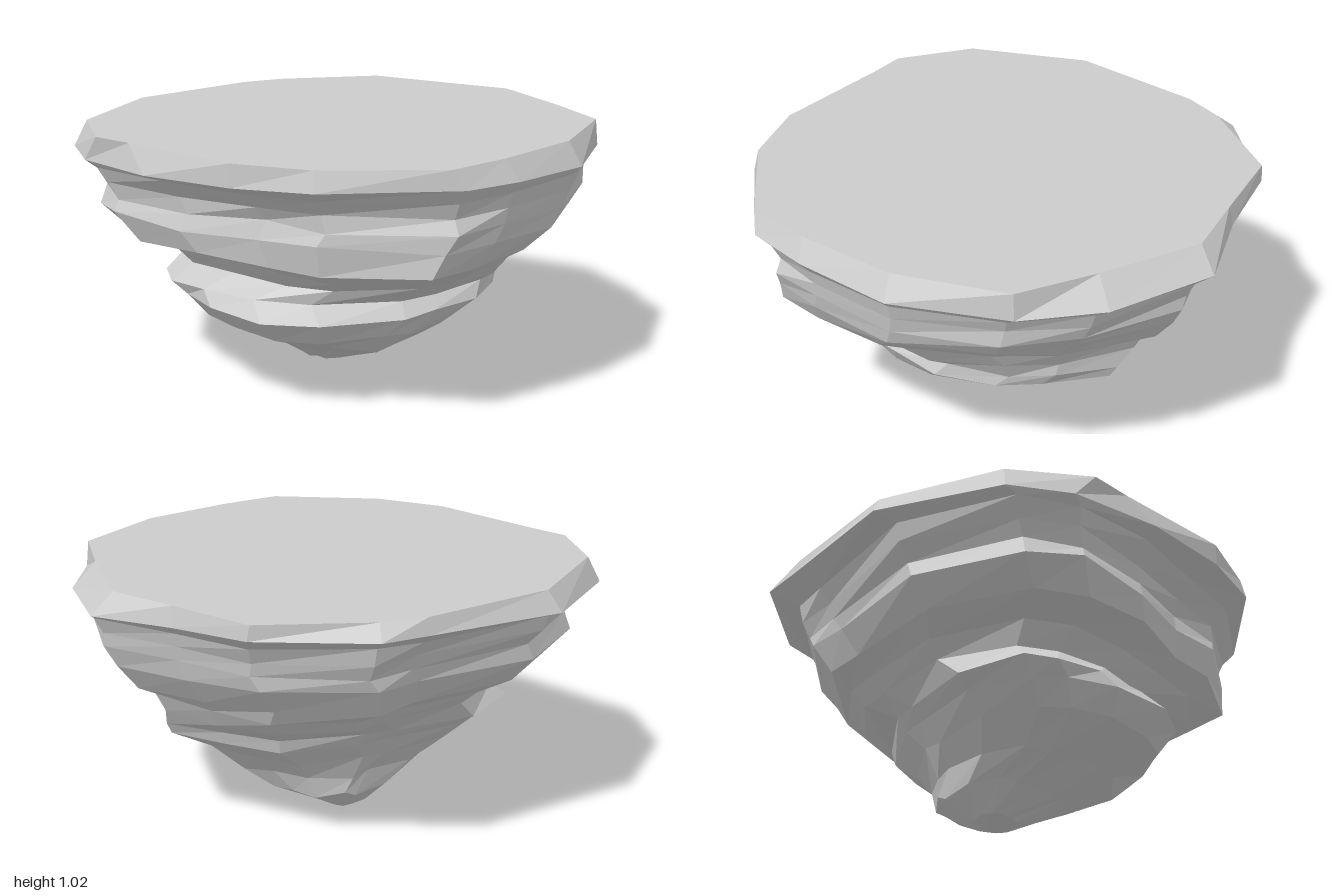
import * as THREE from 'three';

// Widest outline of the slab as [x, z], clockwise seen from above
const RIM = [
  [-0.08, -0.98], [0.36, -0.91], [0.61, -0.69], [0.90, -0.50], [1.0, -0.09], [0.97, 0.23],
  [0.77, 0.62], [0.47, 0.85], [0.25, 0.97], [-0.25, 0.90], [-0.51, 0.72], [-0.78, 0.43],
  [-0.97, 0.11], [-1.0, -0.14], [-0.76, -0.59], [-0.25, -0.88],
];
// Edge of the flat top, slightly inside the rim
const TOP = [
  [-0.08, -0.91], [0.35, -0.91], [0.61, -0.67], [0.82, -0.48], [0.91, -0.08], [0.96, 0.23],
  [0.73, 0.59], [0.42, 0.83], [0.20, 0.96], [-0.25, 0.88], [-0.51, 0.72], [-0.82, 0.32],
  [-0.93, 0.19], [-0.95, -0.14], [-0.71, -0.57], [-0.25, -0.86],
];
// Rock layers below the slab:
// [y, min x, max x, max z, min z, unevenness, front right swell, back left swell]
const LAYERS = [
  [0.89, -0.97, 0.97, 0.93, -0.86, 0.006, -0.09, 0.03],
  [0.83, -0.93, 0.94, 0.91, -0.83, 0.01, -0.15, 0.04],
  [0.77, -0.89, 0.92, 0.91, -0.80, 0.01, -0.17, 0.06],
  [0.71, -0.91, 0.87, 0.90, -0.78, 0.012, -0.18, 0.08],
  [0.61, -0.82, 0.75, 0.89, -0.70, 0.012, -0.17, 0.12],
  [0.56, -0.66, 0.69, 0.77, -0.64, 0.012, -0.12, 0.14],
  [0.49, -0.60, 0.65, 0.63, -0.57, 0.012, -0.06, 0.15],
  [0.425, -0.67, 0.63, 0.51, -0.45, 0.01, 0.12, 0.20],
  [0.37, -0.60, 0.59, 0.56, -0.42, 0.01, 0.27, 0.25],
  [0.29, -0.53, 0.45, 0.53, -0.34, 0.015, 0.15, 0.28],
  [0.20, -0.37, 0.34, 0.39, -0.29, 0.015, 0.04, 0.25],
  [0.12, -0.24, 0.25, 0.20, -0.29, 0.012, 0, 0.18],
  [0.03, -0.13, 0.08, 0.01, -0.17, 0.005, 0, 0],
];

function seeded(seed) {
  return () => {
    seed = (seed * 16807) % 2147483647;
    return (seed / 2147483647) * 2 - 1;
  };
}

// How strongly an outline point faces the direction (dx, dz)
function facing(x, z, dx, dz) {
  return Math.max(0, (x * dx + z * dz) / Math.hypot(x, z)) ** 6;
}

function buildRings() {
  const rand = seeded(4217);
  const rings = [
    TOP.map(([x, z]) => [x, 1.01 + 0.01 * z, z]),
    RIM.map(([x, z]) => [x, 0.91 + 0.04 * z * z, z]),
  ];
  for (const [y, x0, x1, z1, z0, rough, frontSwell, backSwell] of LAYERS) {
    rings.push(RIM.map(([x, z]) => {
      const s = 1 + rand() * rough * 1.5
        + frontSwell * facing(x, z, -0.6, 0.8) + backSwell * facing(x, z, 0.72, -0.69);
      return [
        (x0 + x1) / 2 + x * s * (x1 - x0) / 2,
        y + rand() * rough,
        (z0 + z1) / 2 + z * s * (z1 - z0) / 1.95,
      ];
    }));
  }
  return rings;
}

// Collect triangles without shared corners for hard facets
function facetedMesh(name, triangles) {
  const geometry = new THREE.BufferGeometry();
  geometry.setAttribute('position', new THREE.Float32BufferAttribute(triangles.flat(2), 3));
  geometry.computeVertexNormals();
  const mesh = new THREE.Mesh(
    geometry,
    new THREE.MeshStandardMaterial({ color: 0xcccccc, flatShading: true }),
  );
  mesh.name = name;
  return mesh;
}

// Skin between neighbouring rings
function band(rings) {
  const triangles = [];
  for (let k = 0; k < rings.length - 1; k++) {
    const up = rings[k], low = rings[k + 1];
    up.forEach((a, i) => {
      const j = (i + 1) % up.length;
      triangles.push([a, up[j], low[j]], [a, low[j], low[i]]);
    });
  }
  return triangles;
}

// Fan closing a ring to one point
function fan(ring, point, upward) {
  return ring.map((a, i) => {
    const b = ring[(i + 1) % ring.length];
    return upward ? [point, b, a] : [point, a, b];
  });
}

export function createModel() {
  const group = new THREE.Group();
  group.name = 'floatingRockIsland';
  const rings = buildRings();

  // Flat top surface
  group.add(facetedMesh('plateauTop', fan(rings[0], [0, 1.005, 0], true)));
  // Thin bevelled lip round the plateau
  group.add(facetedMesh('plateauRim', band(rings.slice(0, 2))));
  // Layered underside tapering to an off-centre tip
  group.add(facetedMesh('rockUnderside', [
    ...band(rings.slice(1)),
    ...fan(rings[rings.length - 1], [-0.02, 0, -0.12], false),
  ]));
  return group;
}
